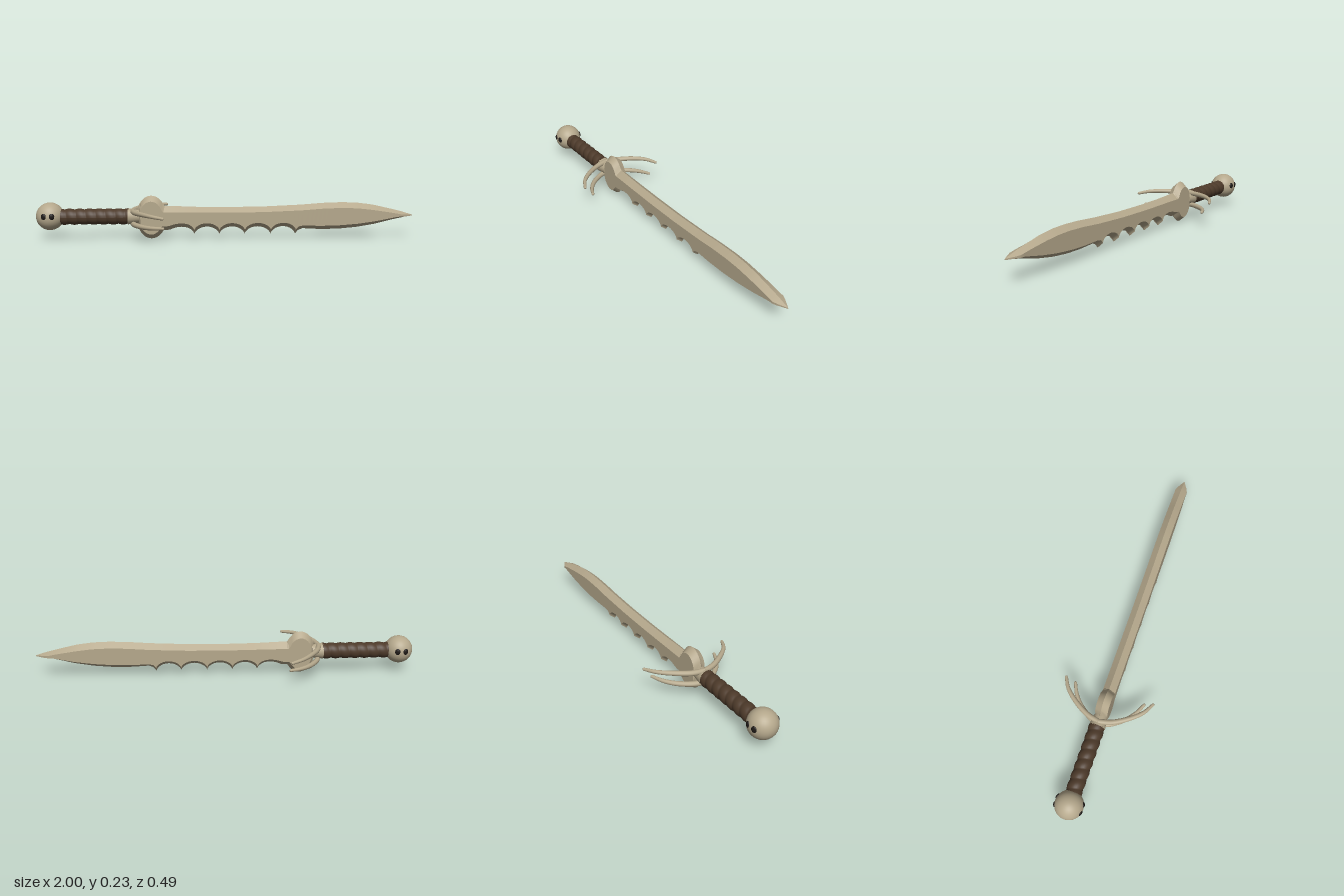
import * as THREE from 'three';
import { toCreasedNormals } from 'three/addons/utils/BufferGeometryUtils.js';

const bone = new THREE.MeshStandardMaterial({ name: 'bone', color: 0xb5a88c });
const leather = new THREE.MeshStandardMaterial({ name: 'brown leather', color: 0x4d3a2a });
const dark = new THREE.MeshStandardMaterial({ name: 'dark socket', color: 0x1f1a17 });

const AXIS_Y = 0.12;

// Height at x along a list of [x, y] points
function along(points, x) {
  if (x <= points[0][0]) return points[0][1];
  for (let i = 1; i < points.length; i++) {
    const [x0, y0] = points[i - 1], [x1, y1] = points[i];
    if (x <= x1) return y0 + (y1 - y0) * (x - x0) / (x1 - x0);
  }
  return points[points.length - 1][1];
}

const topEdge = [[-0.3, 0.175], [-0.15, 0.169], [0, 0.167], [0.2, 0.169], [0.4, 0.178], [0.52, 0.187], [0.62, 0.19],
  [0.7, 0.187], [0.78, 0.177], [0.88, 0.154], [0.94, 0.139], [1, 0.12]];
const topFace = [[-0.3, 0.145], [0, 0.142], [0.2, 0.144], [0.4, 0.152], [0.52, 0.161], [0.62, 0.164],
  [0.7, 0.161], [0.78, 0.152], [0.88, 0.137], [0.94, 0.126], [1, 0.12]];
const lowEdge = [[0.37, 0.02], [0.385, 0.04], [0.41, 0.05], [0.5, 0.045], [0.6, 0.046], [0.7, 0.055],
  [0.8, 0.072], [0.9, 0.097], [1, 0.118]];
const lowFace = [[0.37, 0.05], [0.385, 0.066], [0.41, 0.071], [0.5, 0.068], [0.6, 0.07], [0.7, 0.078],
  [0.8, 0.092], [0.9, 0.112], [0.94, 0.119], [1, 0.12]];
const teeth = [-0.302, -0.168, -0.035, 0.1, 0.238, 0.37];

// Scalloped lower line between neighbouring teeth
function scallop(x, low, high) {
  const i = teeth.findIndex((t, k) => k > 0 && x <= t + 1e-6);
  const u = (x - teeth[i - 1]) / (teeth[i] - teeth[i - 1]);
  const arch = Math.pow(Math.max(0, 1 - (2 * u - 1) ** 2), 0.6);
  const base = i === 1 ? THREE.MathUtils.lerp(low + 0.02, low, u) : low;
  return base + (high - base) * arch;
}

// Blade: six-sided cross-sections, with a round base, toothed belly and leaf-shaped point
function bladeGeometry() {
  const half = 0.033, cx = -0.395, cy = 0.115;
  const round = (x, rx, ry) => ry * Math.sqrt(Math.max(0, 1 - ((x - cx) / rx) ** 2));
  const xs = [];
  for (let i = 0; i < 20; i++) xs.push(cx - 0.08 * Math.cos(Math.PI * i / 20));
  for (let k = 1; k < teeth.length; k++) {
    for (let i = k === 1 ? 2 : 0; i < 14; i++) {
      xs.push(THREE.MathUtils.lerp(teeth[k - 1], teeth[k], (1 - Math.cos(Math.PI * i / 14)) / 2));
    }
  }
  for (const x of [0.37, 0.385, 0.41]) xs.push(x);
  for (let i = 0; i <= 26; i++) xs.push(0.44 + 0.56 * i / 26);
  xs.sort((a, b) => a - b);

  const pos = [];
  for (const x of xs) {
    let to = cy + round(x, 0.08, 0.115), ti = cy + round(x, 0.063, 0.088);
    let lo = 2 * cy - to, li = 2 * cy - ti;
    if (x > cx) {
      to = Math.max(to, along(topEdge, x));
      ti = Math.max(ti, along(topFace, x));
      const belly = x > 0.37, tooth = x > teeth[0];
      lo = Math.min(lo, belly ? along(lowEdge, x) : tooth ? scallop(x, 0.02, 0.062) : 0.045);
      li = Math.min(li, belly ? along(lowFace, x) : tooth ? scallop(x, 0.048, 0.086) : 0.07);
    }
    const w = half * Math.max(0, Math.min(1, (x - cx + 0.08) / 0.02, (1 - x) / 0.06));
    pos.push(x, to, 0, x, ti, w, x, li, w, x, lo, 0, x, li, -w, x, ti, -w);
  }
  const index = [];
  for (let s = 0; s < xs.length - 1; s++) {
    for (let j = 0; j < 6; j++) {
      const a = s * 6 + j, b = s * 6 + (j + 1) % 6;
      index.push(a, b, a + 6, b, b + 6, a + 6);
    }
  }
  const geo = new THREE.BufferGeometry();
  geo.setAttribute('position', new THREE.Float32BufferAttribute(pos, 3));
  geo.setIndex(index);
  return toCreasedNormals(geo, 0.5);
}

// Grip: cylinder with a shallow spiral wrap
function gripGeometry(length) {
  const geo = new THREE.CylinderGeometry(1, 1, length, 28, 80);
  const p = geo.attributes.position;
  for (let i = 0; i < p.count; i++) {
    const x = p.getX(i), z = p.getZ(i);
    const phase = Math.PI * 2 * 7 * p.getY(i) / length + Math.atan2(z, x);
    const r = 0.038 + 0.005 * Math.abs(Math.cos(phase / 2));
    p.setX(i, x * r);
    p.setZ(i, z * r);
  }
  geo.computeVertexNormals();
  return geo.rotateZ(-Math.PI / 2);
}

// Curved guard prong: tube narrowing toward its tip
function prong(points, side) {
  const group = new THREE.Group();
  group.name = 'guardProng';
  const curve = new THREE.CatmullRomCurve3(points.map(([x, y, z]) => new THREE.Vector3(x, y, z * side)));
  const rings = 28, sides = 12;
  const geo = new THREE.TubeGeometry(curve, rings, 0.014, sides);
  const p = geo.attributes.position, v = new THREE.Vector3();
  for (let i = 0; i <= rings; i++) {
    const c = curve.getPointAt(i / rings);
    for (let j = 0; j <= sides; j++) {
      const k = i * (sides + 1) + j;
      v.fromBufferAttribute(p, k).sub(c).multiplyScalar(1 - 0.45 * (i / rings) ** 2).add(c);
      p.setXYZ(k, v.x, v.y, v.z);
    }
  }
  group.add(new THREE.Mesh(geo, bone));
  const tip = new THREE.Mesh(new THREE.SphereGeometry(0.0077, 12, 8), bone);
  tip.position.copy(curve.getPoint(1));
  group.add(tip);
  return group;
}

export function createModel() {
  const model = new THREE.Group();
  const add = (name, geo, mat, x = 0, y = 0, z = 0) => {
    const mesh = new THREE.Mesh(geo, mat);
    mesh.name = name;
    mesh.position.set(x, y, z);
    model.add(mesh);
    return mesh;
  };

  add('blade', bladeGeometry(), bone);
  add('grip', gripGeometry(0.36), leather, -0.695, AXIS_Y);
  add('collar', new THREE.CylinderGeometry(0.034, 0.043, 0.06, 20).rotateZ(-Math.PI / 2), bone, -0.488, AXIS_Y);

  // Ball pommel with a pair of dark sockets on each face
  add('pommel', new THREE.SphereGeometry(0.073, 32, 20), bone, -0.927, 0.123);
  for (const side of [1, -1]) {
    for (const dx of [-0.021, 0.021]) {
      const eye = add('socket', new THREE.SphereGeometry(1, 16, 10), dark, -0.927 + dx, 0.131, side * 0.067);
      eye.scale.set(0.014, 0.017, 0.007);
      eye.rotation.y = side * dx * 14;
    }
  }

  // Two pairs of prongs sweeping toward the blade
  const upper = [[-0.495, 0.15, 0], [-0.478, 0.15, 0.065], [-0.432, 0.153, 0.145], [-0.38, 0.152, 0.203], [-0.325, 0.147, 0.235]];
  const lower = [[-0.495, 0.083, 0], [-0.478, 0.082, 0.05], [-0.432, 0.083, 0.118], [-0.38, 0.085, 0.162], [-0.325, 0.088, 0.189]];
  for (const side of [1, -1]) model.add(prong(upper, side), prong(lower, side));

  return model;
}
